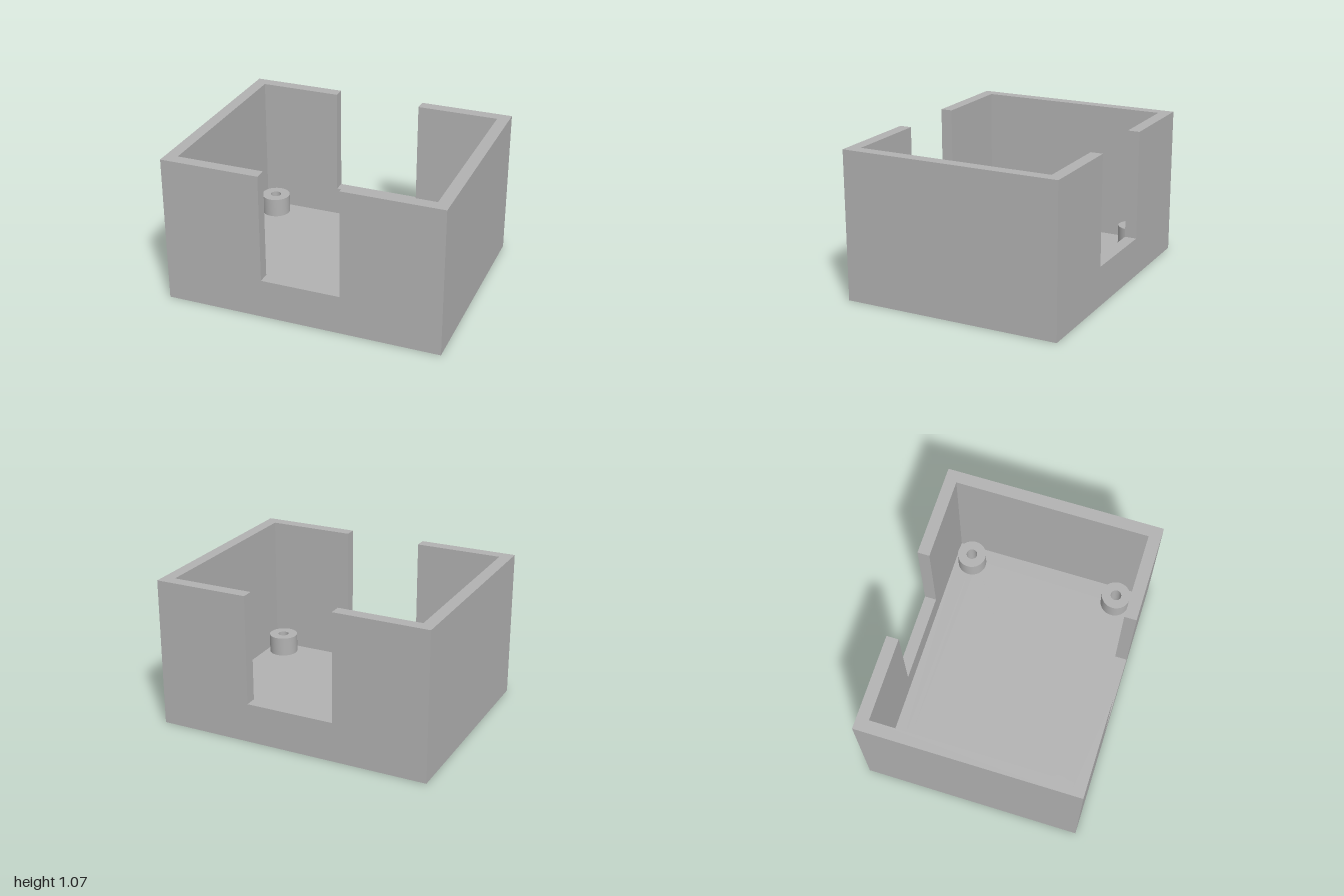
import * as THREE from 'three';
import { toCreasedNormals } from 'three/addons/utils/BufferGeometryUtils.js';

const W = 1, D = 0.786, H = 1.071;        // half width, half depth, height
const WALL = 0.0865, FLOOR = 0.071;       // thicknesses
const SILL = 0.286;                       // bottom of both wall openings
const BOSS_TOP = 0.214, BOSS_R = 0.107, HOLE_R = 0.04;
const BOSS_X = 0.786, BOSS_Z = 0.571;

const grey = new THREE.MeshStandardMaterial({ color: 0xb2b2b2 });
grey.name = 'grey plastic';

function addMesh(parent, name, geometry) {
  const mesh = new THREE.Mesh(geometry, grey);
  mesh.name = name;
  parent.add(mesh);
  return mesh;
}

function polygon(points) {
  return new THREE.Shape(points.map(([x, y]) => new THREE.Vector2(x, y)));
}

function circle(PathType, x, y, r) {
  const path = new PathType();
  path.absarc(x, y, r, 0, Math.PI * 2, false);
  return path;
}

// Extrude a shape; rounded sides stay smooth and rims stay sharp
function extrude(shape, depth) {
  const g = new THREE.ExtrudeGeometry(shape, { depth, bevelEnabled: false, curveSegments: 24 });
  return toCreasedNormals(g, Math.PI / 5);
}

// Lay an extrusion flat so that it rises from height y
function extrudeUp(shape, y, height) {
  return extrude(shape, height).rotateX(-Math.PI / 2).translate(0, y, 0);
}

// Full-width wall with a slot open at the top
function slottedWall(slotHalf) {
  return extrude(polygon([
    [-W, 0], [W, 0], [W, H], [slotHalf, H], [slotHalf, SILL],
    [-slotHalf, SILL], [-slotHalf, H], [-W, H],
  ]), WALL);
}

export function createModel() {
  const box = new THREE.Group();
  box.name = 'openEnclosure';

  // Front and back walls, the back slot slightly wider
  addMesh(box, 'frontWall', slottedWall(0.286)).position.z = D - WALL;
  addMesh(box, 'backWall', slottedWall(0.321)).position.z = -D;

  // Side walls
  const ix = W - WALL, iz = D - WALL;
  for (const [name, s] of [['leftWall', 1], ['rightWall', -1]]) {
    addMesh(box, name, new THREE.BoxGeometry(WALL, H, iz * 2))
      .position.set(s * (W - WALL / 2), H / 2, 0);
  }

  // Floor with screw holes, and a hollow boss above each hole
  const floor = polygon([[-ix, -iz], [ix, -iz], [ix, iz], [-ix, iz]]);
  const bosses = new THREE.Group();
  bosses.name = 'screwBosses';
  for (const sx of [-1, 1]) {
    for (const sz of [-1, 1]) {
      const x = sx * BOSS_X, y = -sz * BOSS_Z;
      floor.holes.push(circle(THREE.Path, x, y, HOLE_R));
      const ring = circle(THREE.Shape, x, y, BOSS_R);
      ring.holes.push(circle(THREE.Path, x, y, HOLE_R));
      addMesh(bosses, 'screwBoss', extrudeUp(ring, FLOOR, BOSS_TOP - FLOOR));
    }
  }
  addMesh(box, 'floor', extrudeUp(floor, 0, FLOOR));
  box.add(bosses);

  return box;
}
